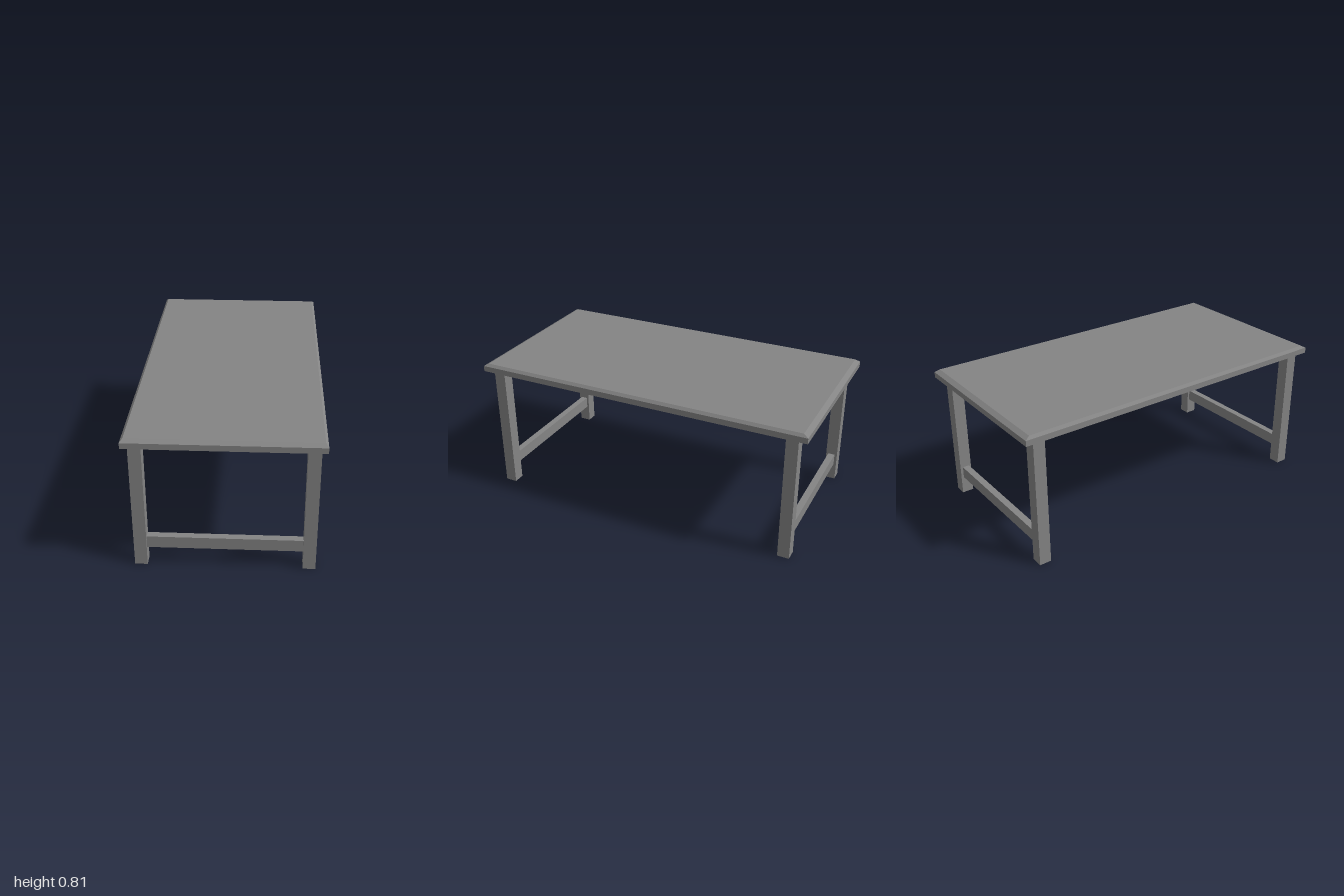
import * as THREE from 'three';

const material = new THREE.MeshStandardMaterial({ color: 0x848484, flatShading: true });

export function createModel() {
  const table = new THREE.Group();
  table.name = 'table';

  const add = (name, geometry, x, y, z) => {
    const mesh = new THREE.Mesh(geometry, material);
    mesh.name = name;
    mesh.position.set(x, y, z);
    table.add(mesh);
  };
  const addBox = (name, w, h, d, x, y, z) =>
    add(name, new THREE.BoxGeometry(w, h, d), x, y, z);

  // Tabletop: a slab whose upper edge is chamfered
  const width = 1.034, length = 2, thick = 0.048, chamfer = 0.015;
  const slab = new THREE.BoxGeometry(width, thick, length, 1, 2, 1);
  const p = slab.attributes.position;
  for (let i = 0; i < p.count; i++) {
    const y = p.getY(i);
    if (Math.abs(y) < 1e-6) p.setY(i, thick / 2 - chamfer);
    else if (y > 0) {
      p.setX(i, p.getX(i) - Math.sign(p.getX(i)) * 0.015);
      p.setZ(i, p.getZ(i) - Math.sign(p.getZ(i)) * 0.028);
    }
  }
  slab.computeVertexNormals();
  add('tabletop', slab, 0, 0.784, 0);

  // Long apron rails between the front and back legs
  for (const side of [1, -1]) {
    addBox(side > 0 ? 'leftApron' : 'rightApron',
      0.036, 0.031, 1.76, side * 0.448, 0.7445, 0);
  }

  // Each end: two legs, a short apron rail and a low stretcher
  for (const end of [1, -1]) {
    const prefix = end > 0 ? 'front' : 'back';
    for (const side of [1, -1]) {
      addBox(`${prefix}${side > 0 ? 'Left' : 'Right'}Leg`,
        0.069, 0.76, 0.069, side * 0.455, 0.38, end * 0.911);
    }
    addBox(`${prefix}Apron`, 0.845, 0.031, 0.036, 0, 0.7445, end * 0.904);
    addBox(`${prefix}Stretcher`, 0.845, 0.07, 0.04, 0, 0.139, end * 0.91);
  }
  return table;
}
